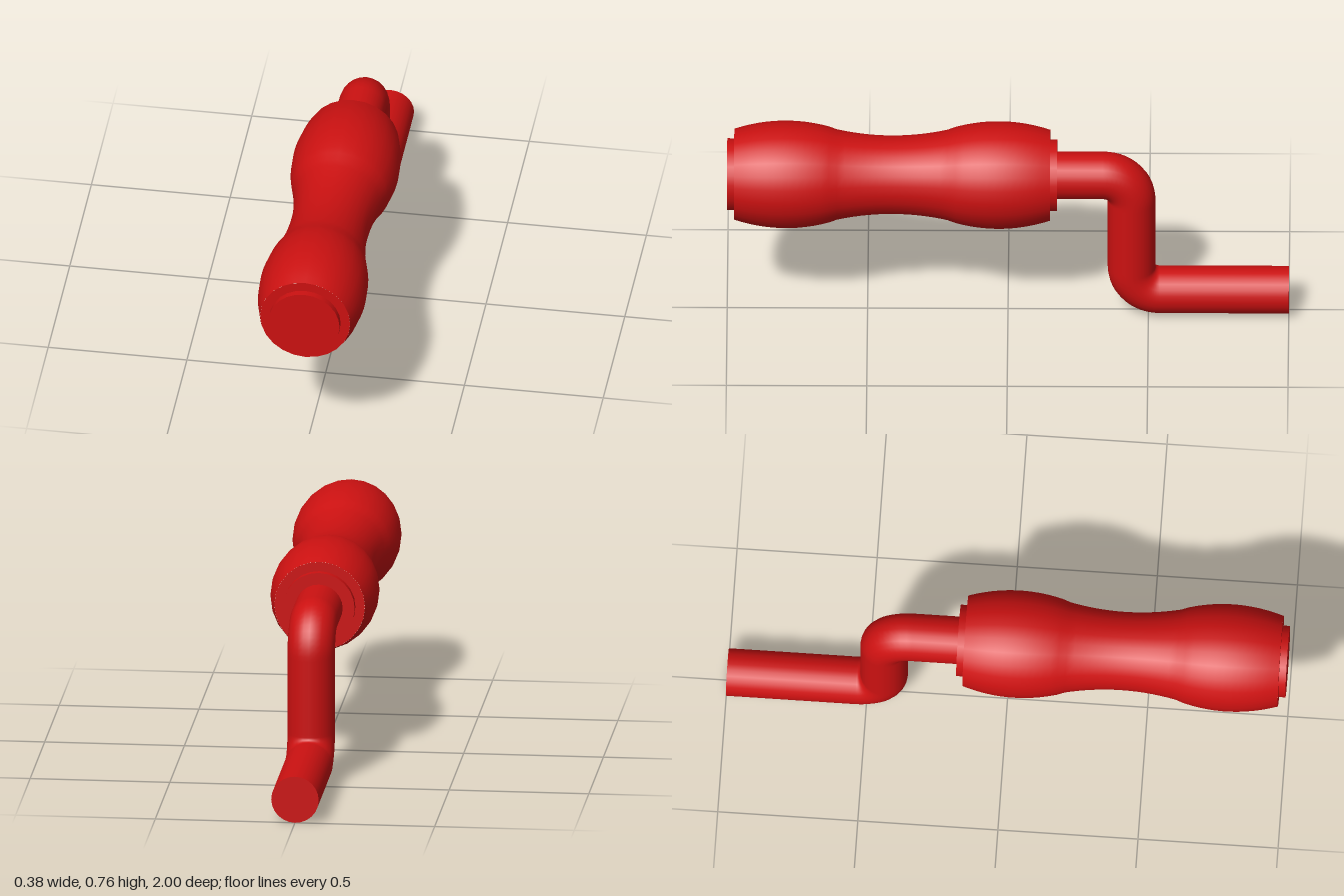
import * as THREE from 'three';

const SIDES = 24;
const GRIP_Y = 0.572, GRIP_MID = 0.4125, GRIP_HALF = 0.5625;
const SHOULDER_R = 0.162, COLLAR_R = 0.128, ROD_R = 0.085;

export function createModel() {
  const group = new THREE.Group();
  const red = new THREE.MeshStandardMaterial({ color: 0xcc1111 });

  function add(name, geometry, y = 0, z = 0) {
    const mesh = new THREE.Mesh(geometry, red);
    mesh.name = name;
    mesh.position.set(0, y, z);
    group.add(mesh);
    return mesh;
  }

  // Grip: two swollen ends with a narrow waist, turned around the z axis
  const gripRadius = (t) => {
    const d = Math.abs(t);
    return d < 0.2
      ? 0.14 + 0.55 * d * d
      : 0.192 - 0.877 * (d - 0.3785) ** 2;
  };
  const profile = [];
  for (let i = 0; i <= 40; i++) {
    const t = GRIP_HALF * (i / 20 - 1);
    profile.push(new THREE.Vector2(gripRadius(t), t));
  }
  add('grip', new THREE.LatheGeometry(profile, SIDES).rotateX(Math.PI / 2), GRIP_Y, GRIP_MID);

  // Flat shoulder and raised collar at each end of the grip
  for (const [label, side] of [['front', 1], ['back', -1]]) {
    const end = GRIP_MID + side * GRIP_HALF;
    const shoulder = add(label + 'Shoulder', new THREE.CircleGeometry(SHOULDER_R, SIDES), GRIP_Y, end);
    if (side < 0) shoulder.rotation.y = Math.PI;
    const collar = new THREE.CylinderGeometry(COLLAR_R, COLLAR_R, 0.05, SIDES).rotateX(Math.PI / 2);
    add(label + 'Collar', collar, GRIP_Y, end);
  }

  // Crank rod: straight runs joined by two rounded quarter bends
  const LOW_Y = 0.086, ARM_Z = -0.44, BEND = 0.1, K = BEND * 0.448;
  const p = (y, z) => new THREE.Vector3(0, y, z);
  const path = new THREE.CurvePath();
  path.add(new THREE.LineCurve3(p(GRIP_Y, -0.12), p(GRIP_Y, ARM_Z + BEND)));
  path.add(new THREE.CubicBezierCurve3(
    p(GRIP_Y, ARM_Z + BEND), p(GRIP_Y, ARM_Z + K), p(GRIP_Y - K, ARM_Z), p(GRIP_Y - BEND, ARM_Z)));
  path.add(new THREE.LineCurve3(p(GRIP_Y - BEND, ARM_Z), p(LOW_Y + BEND, ARM_Z)));
  path.add(new THREE.CubicBezierCurve3(
    p(LOW_Y + BEND, ARM_Z), p(LOW_Y + K, ARM_Z), p(LOW_Y, ARM_Z - K), p(LOW_Y, ARM_Z - BEND)));
  path.add(new THREE.LineCurve3(p(LOW_Y, ARM_Z - BEND), p(LOW_Y, -1)));
  add('crankRod', new THREE.TubeGeometry(path, 100, ROD_R, SIDES));

  // Flat end of the rod
  add('rodEnd', new THREE.CircleGeometry(ROD_R, SIDES), LOW_Y, -1).rotation.y = Math.PI;

  return group;
}
